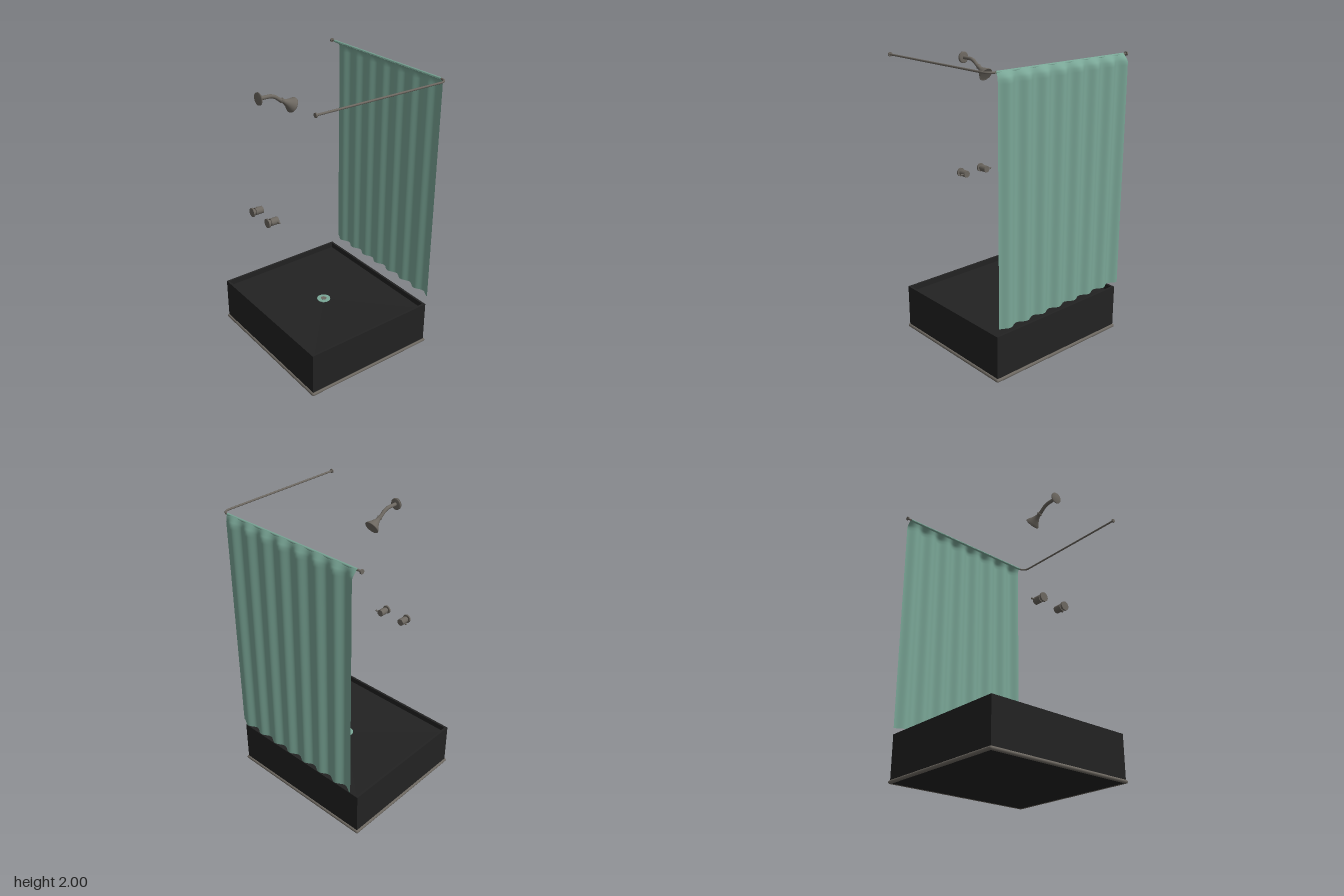
import * as THREE from 'three';

const material = (name, color, side = THREE.FrontSide) => {
  const m = new THREE.MeshStandardMaterial({ color, side });
  m.name = name;
  return m;
};

export function createModel() {
  const model = new THREE.Group();
  model.name = 'cornerShower';
  const black = material('blackTray', 0x222222);
  const metal = material('brushedMetal', 0x6c6760);
  const teal = material('tealCurtain', 0x7aa797, THREE.DoubleSide);

  const add = (parent, name, geometry, mat, x = 0, y = 0, z = 0) => {
    const mesh = new THREE.Mesh(geometry, mat);
    mesh.name = name;
    mesh.position.set(x, y, z);
    parent.add(mesh);
    return mesh;
  };
  const group = (name, x, y, z) => {
    const g = new THREE.Group();
    g.name = name;
    g.position.set(x, y, z);
    model.add(g);
    return g;
  };
  // Turned shape whose axis points along +x; points are [distance, radius]
  const turned = (points, segments = 28) =>
    new THREE.LatheGeometry(points.map(([d, r]) => new THREE.Vector2(r, d)), segments).rotateZ(-Math.PI / 2);
  const disc = (length, radius) => new THREE.CylinderGeometry(radius, radius, length, 28).rotateZ(Math.PI / 2);

  // Tray, centred on the drain
  const W = 0.985, D = 1.105, RIM = 0.016, TOP = 0.325;
  const tray = group('tray', -0.022, 0, -0.028);
  add(tray, 'trayBase', new THREE.BoxGeometry(W, 0.25, D), black, 0, 0.128, 0);
  for (const s of [-1, 1]) {
    add(tray, 'traySideRim', new THREE.BoxGeometry(RIM, TOP - 0.253, D), black, s * (W - RIM) / 2, (TOP + 0.253) / 2, 0);
    add(tray, 'trayEndRim', new THREE.BoxGeometry(W - 2 * RIM, TOP - 0.253, RIM), black, 0, (TOP + 0.253) / 2, s * (D - RIM) / 2);
  }

  // Floor falling gently to the drain
  const fx = W / 2 - RIM, fz = D / 2 - RIM;
  const corners = [[-fx, -fz], [-fx, fz], [fx, fz], [fx, -fz]];
  const floorPoints = [];
  corners.forEach(([x, z], i) => {
    const [nx, nz] = corners[(i + 1) % 4];
    floorPoints.push(x, 0.285, z, nx, 0.285, nz, 0, 0.268, 0);
  });
  const floor = new THREE.BufferGeometry();
  floor.setAttribute('position', new THREE.Float32BufferAttribute(floorPoints, 3));
  floor.computeVertexNormals();
  add(tray, 'trayFloor', floor, black);
  add(tray, 'drainRing', new THREE.CylinderGeometry(0.048, 0.048, 0.008, 32), teal, 0, 0.2695, 0);
  add(tray, 'drainGrate', new THREE.CylinderGeometry(0.02, 0.02, 0.003, 20), metal, 0, 0.2745, 0);

  // Rounded bead round the foot of the tray
  const BEAD = 0.012;
  for (const s of [-1, 1]) {
    add(tray, 'sideBead', new THREE.CylinderGeometry(BEAD, BEAD, D, 12).rotateX(Math.PI / 2), metal, s * W / 2, BEAD, 0);
    add(tray, 'endBead', new THREE.CylinderGeometry(BEAD, BEAD, W, 12).rotateZ(Math.PI / 2), metal, 0, BEAD, s * D / 2);
    for (const t of [-1, 1])
      add(tray, 'beadCorner', new THREE.SphereGeometry(BEAD, 12, 8), metal, s * W / 2, BEAD, t * D / 2);
  }

  // Curtain rod with a rounded corner
  const RX = 0.467, RY = 1.986, RZ = 0.577, BEND = 0.055;
  const v = (x, z) => new THREE.Vector3(x, RY, z);
  const addRod = (curve, segments) => add(model, 'curtainRod', new THREE.TubeGeometry(curve, segments, 0.0068, 12), metal);
  addRod(new THREE.LineCurve3(v(-0.515, RZ), v(RX - BEND, RZ)), 1);
  addRod(new THREE.CubicBezierCurve3(v(RX - BEND, RZ), v(RX - BEND * 0.448, RZ), v(RX, RZ - BEND * 0.448), v(RX, RZ - BEND)), 14);
  addRod(new THREE.LineCurve3(v(RX, RZ - BEND), v(RX, -0.585)), 1);
  add(model, 'rodFlange', disc(0.009, 0.014), metal, -0.5145, RY, RZ);
  add(model, 'rodFlange', disc(0.009, 0.014).rotateY(Math.PI / 2), metal, RX, RY, -0.5855);

  // Curtain: profile rows are [x, y, share of the wave], looped over the rod and hanging outside it
  const rows = [];
  for (let i = 0; i <= 12; i++) {
    const a = -Math.PI * 0.05 + Math.PI * 2 * (i / 12);
    rows.push([RX - Math.cos(a) * 0.0085, RY + Math.sin(a) * 0.0085, 0]);
  }
  rows.reverse();
  rows.push([RX, RY + 0.0085, 0], [RX + 0.007, RY + 0.004, 0.08], [0.482, 1.975, 0.35], [0.491, 1.962, 0.7],
    [0.497, 1.945, 0.95], [0.498, 1.92, 1], [0.498, 1.2, 1], [0.498, 0.385, 1]);
  const curtain = new THREE.PlaneGeometry(1, 1, 128, rows.length - 1);
  const pos = curtain.attributes.position;
  for (let i = 0; i < pos.count; i++) {
    const [x, y, share] = rows[Math.floor(i / 129)];
    const z = 0.522 - (i % 129) / 128 * 1.077;
    const wave = 0.0145 * Math.cos((z + 0.412) / 0.1437 * Math.PI * 2);
    pos.setXYZ(i, x + wave * share, y, z);
  }
  curtain.computeVertexNormals();
  add(model, 'curtain', curtain, teal);

  // Shower head on its bent arm
  const shower = group('showerHead', -0.515, 1.91, -0.015);
  add(shower, 'wallFlange', turned([[0, 0], [0, 0.04], [0.009, 0.04], [0.014, 0.034], [0.014, 0]]), metal);
  const arm = new THREE.CatmullRomCurve3([[0.005, 0], [0.06, 0], [0.095, -0.002], [0.125, -0.014], [0.155, -0.036], [0.18, -0.05]]
    .map(([x, y]) => new THREE.Vector3(x, y, 0)));
  add(shower, 'arm', new THREE.TubeGeometry(arm, 32, 0.0125, 16), metal);
  const head = add(shower, 'sprayHead', turned([[0, 0], [0, 0.015], [0.006, 0.018], [0.012, 0.015], [0.022, 0.014],
    [0.04, 0.02], [0.06, 0.03], [0.078, 0.042], [0.092, 0.05], [0.097, 0.05], [0.097, 0.046], [0.094, 0.045], [0.094, 0]], 32),
  metal, 0.165, -0.041, 0);
  head.rotation.z = -0.53;

  // Pair of taps with small outward levers
  for (const [z, s] of [[-0.155, -1], [0.031, 1]]) {
    const tap = group('tap', -0.515, 1.085, z);
    add(tap, 'tapFlange', disc(0.011, 0.031), metal, 0.0055, 0, 0);
    add(tap, 'tapNeck', disc(0.02, 0.018), metal, 0.018, 0, 0);
    add(tap, 'tapBody', disc(0.055, 0.025), metal, 0.052, 0, 0);
    add(tap, 'tapLever', new THREE.CylinderGeometry(0.005, 0.005, 0.03, 12).rotateX(Math.PI / 2), metal, 0.068, 0, s * 0.032);
    add(tap, 'leverTip', new THREE.SphereGeometry(0.007, 12, 8), metal, 0.068, 0, s * 0.043);
  }
  return model;
}
